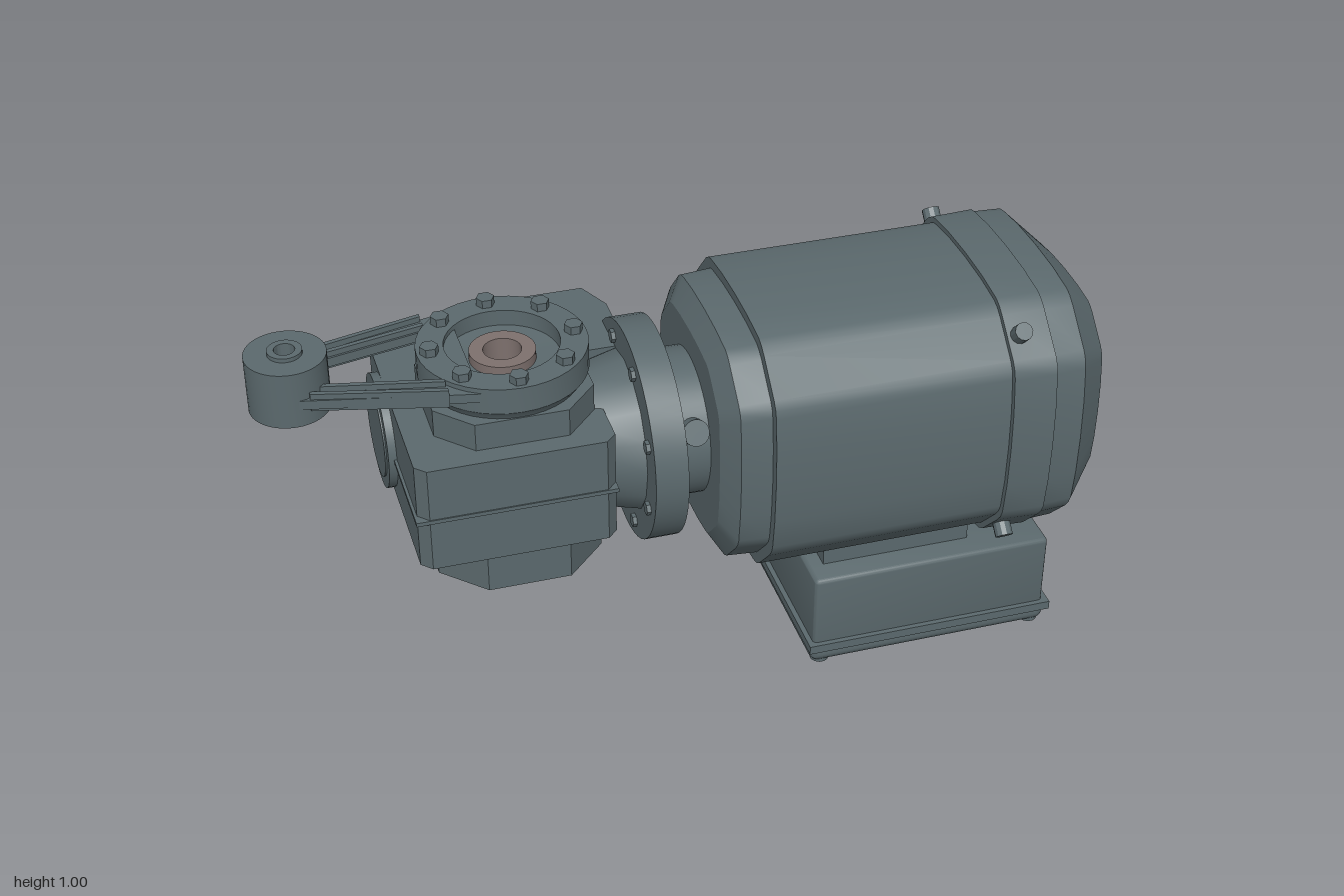
import * as THREE from 'three';
import { toCreasedNormals } from 'three/addons/utils/BufferGeometryUtils.js';
import { RoundedBoxGeometry } from 'three/addons/geometries/RoundedBoxGeometry.js';

const paint = new THREE.MeshStandardMaterial({ color: 0x5b696d, side: THREE.DoubleSide });
const steel = new THREE.MeshStandardMaterial({ color: 0x7d706d, side: THREE.DoubleSide });
const AXIS = 0.63; // height of the motor shaft
const HUB = -0.41; // x of the vertical output shaft

export function createModel() {
  const model = new THREE.Group();
  const add = (name, geo, mat = paint) => {
    const mesh = new THREE.Mesh(toCreasedNormals(geo, 0.5), mat);
    mesh.name = name;
    model.add(mesh);
    return mesh;
  };
  const box = (name, x0, x1, y0, y1, z0, z1) => add(name,
    new THREE.BoxGeometry(x1 - x0, y1 - y0, z1 - z0).translate((x0 + x1) / 2, (y0 + y1) / 2, (z0 + z1) / 2));
  const roundBox = (name, x0, x1, y0, y1, z0, z1, r) => add(name,
    new RoundedBoxGeometry(x1 - x0, y1 - y0, z1 - z0, 3, r).translate((x0 + x1) / 2, (y0 + y1) / 2, (z0 + z1) / 2));
  // cylinder along x, r0 at x0 and r1 at x1
  const cylX = (name, r0, r1, x0, x1, y = AXIS, z = 0, sides = 48, mat = paint) => add(name,
    new THREE.CylinderGeometry(r1, r0, x1 - x0, sides).rotateZ(-Math.PI / 2).translate((x0 + x1) / 2, y, z), mat);
  const cylY = (name, r0, r1, y0, y1, x, z, sides = 32, mat = paint) => add(name,
    new THREE.CylinderGeometry(r1, r0, y1 - y0, sides).rotateY(Math.PI / sides).translate(x, (y0 + y1) / 2, z), mat);
  const lathe = (name, profile, x, z = 0, mat = paint) => add(name,
    new THREE.LatheGeometry(profile.map(p => new THREE.Vector2(...p)), 40).translate(x, 0, z), mat);
  // plan outline [x, z] raised from y0 to y1
  const plan = (name, pts, y0, y1, holes = []) => {
    const toV = list => list.map(([x, z]) => new THREE.Vector2(x, -z));
    const shape = new THREE.Shape(toV(pts));
    shape.holes = holes.map(h => new THREE.Path(toV(h)));
    return add(name, new THREE.ExtrudeGeometry(shape, { depth: y1 - y0, bevelEnabled: false })
      .rotateX(-Math.PI / 2).translate(0, y0, 0));
  };

  // Motor: softened octagon section lofted along x, stations are [x, half z, half y]
  const quarter = [[1, 0], [0.99, 0.3], [0.96, 0.55], [0.945, 0.61], [0.905, 0.67],
    [0.67, 0.89], [0.61, 0.935], [0.55, 0.96], [0.3, 0.99]];
  const ring = [];
  for (let q = 0; q < 4; q++) {
    const c = [1, 0, -1, 0][q], s = [0, 1, 0, -1][q];
    quarter.forEach(([a, b]) => ring.push([a * c - b * s, a * s + b * c]));
  }
  const loft = (name, stations) => {
    const pos = [], n = ring.length;
    const P = ([x, hz, hy], j) => [x, AXIS + ring[j % n][1] * hy, ring[j % n][0] * hz];
    for (let j = 0; j < n; j++) {
      for (let i = 0; i + 1 < stations.length; i++) {
        const [A, B] = [stations[i], stations[i + 1]];
        pos.push(...P(A, j), ...P(B, j), ...P(A, j + 1), ...P(B, j), ...P(B, j + 1), ...P(A, j + 1));
      }
      const first = stations[0], last = stations.at(-1);
      pos.push(first[0], AXIS, 0, ...P(first, j), ...P(first, j + 1));
      pos.push(last[0], AXIS, 0, ...P(last, j + 1), ...P(last, j));
    }
    const geo = new THREE.BufferGeometry();
    geo.setAttribute('position', new THREE.Float32BufferAttribute(pos, 3));
    return add(name, geo);
  };
  loft('driveEndShield', [[0.04, 0.25, 0.25], [0.075, 0.305, 0.305], [0.16, 0.31, 0.31]]);
  loft('motorBody', [[0.15, 0.335, 0.333], [0.74, 0.335, 0.333]]);
  loft('fanCowl', [[0.73, 0.35, 0.345], [0.835, 0.355, 0.347], [0.837, 0.35, 0.342],
    [0.91, 0.346, 0.34], [0.997, 0.255, 0.256]]);
  loft('fanCowlEndPanel', [[0.99, 0.217, 0.217], [1.0, 0.215, 0.215]]);
  for (let k = 0; k < 4; k++) {
    const a = Math.PI / 4 + k * Math.PI / 2;
    const screw = add('cowlScrew', new THREE.CylinderGeometry(0.022, 0.022, 0.07, 12));
    screw.position.set(0.76, AXIS + 0.385 * Math.sin(a), 0.385 * Math.cos(a));
    screw.rotation.x = Math.PI / 2 - a;
  }

  // Terminal box hanging under the motor
  box('terminalPedestal', 0.33, 0.71, 0.25, 0.34, -0.19, 0.19);
  roundBox('terminalBox', 0.29, 0.905, 0.05, 0.26, -0.245, 0.253, 0.012);
  box('lidRim', 0.277, 0.92, 0.043, 0.066, -0.243, 0.266);
  roundBox('terminalLid', 0.283, 0.913, 0.003, 0.06, -0.235, 0.258, 0.024);
  for (const x of [0.315, 0.88]) for (const z of [-0.205, 0.228]) {
    cylY('lidScrew', 0.024, 0.024, 0, 0.05, x, z, 12);
  }
  // Blanking plugs with a slot bar on the rear wall
  for (const [x, r] of [[0.79, 0.048], [0.63, 0.052], [0.43, 0.06]]) {
    const plug = lathe('cablePlug', [[r, -0.01], [r, 0.004], [r * 0.75, 0.011], [0, 0.015]], 0);
    plug.rotation.x = -Math.PI / 2;
    plug.position.set(x, 0.16, -0.243);
    const slot = box('plugSlot', x - r * 0.75, x + r * 0.75, 0.155, 0.165, -0.261, -0.25);
    slot.rotation.z = 0;
  }

  // Coupling neck and round flange
  cylX('couplingNeck', 0.18, 0.18, -0.05, 0.06);
  cylX('couplingFlange', 0.27, 0.27, -0.12, -0.04);
  for (let k = 0; k < 8; k++) {
    const a = (k + 0.5) * Math.PI / 4;
    cylX('flangeBolt', 0.017, 0.017, -0.13, -0.033, AXIS + 0.228 * Math.sin(a), 0.228 * Math.cos(a), 6);
  }
  for (const side of [-1, 1]) {
    const plug = add('neckPlug', new THREE.CylinderGeometry(0.032, 0.032, 0.05, 20).rotateX(Math.PI / 2));
    plug.position.set(0, 0.71, 0.17 * side);
    plug.rotation.x = -0.45 * side;
  }

  // Gear housing with adapter, rear ribs and worm end cover
  plan('gearHousing', [[-0.67, -0.32], [-0.65, -0.335], [-0.2, -0.335], [-0.2, 0.21], [-0.225, 0.235],
    [-0.645, 0.235], [-0.67, 0.21]], 0.495, 0.77);
  box('housingSeam', -0.677, -0.2, 0.625, 0.635, -0.341, 0.238);
  cylX('gearAdapter', 0.165, 0.2, -0.25, -0.11, AXIS, 0, 16);
  plan('adapterShoulder', [[-0.31, -0.358], [-0.13, -0.358], [-0.09, -0.27], [-0.09, -0.08],
    [-0.24, -0.08], [-0.24, -0.31], [-0.31, -0.31]], 0.44, 0.815);
  box('rearRib', -0.62, -0.5, 0.48, 0.785, -0.358, -0.3);
  cylX('wormEndCover', 0.14, 0.14, -0.69, -0.64, AXIS, -0.16, 40);
  cylX('wormEndCap', 0.112, 0.112, -0.694, -0.66, AXIS, -0.16, 40);
  cylY('ventPlug', 0.026, 0.026, 0.76, 0.785, HUB, -0.26, 6, steel);

  // Output flange on top: waisted collar, recessed ring and bolts
  lathe('outputFlange', [[0.165, 0.76], [0.175, 0.83], [0.2, 0.865], [0.2, 0.93], [0.135, 0.93],
    [0.135, 0.89], [0.05, 0.885]], HUB);
  plan('collarBlock', [[-0.6, -0.1], [-0.52, -0.185], [-0.3, -0.185], [-0.22, -0.1], [-0.22, 0.1],
    [-0.3, 0.185], [-0.52, 0.185], [-0.6, 0.1]], 0.76, 0.84);
  lathe('hollowShaftTop', [[0.078, 0.88], [0.078, 0.91], [0.045, 0.91], [0.045, 0.85], [0, 0.85]], HUB, 0, steel);
  for (let k = 0; k < 8; k++) {
    const a = k * Math.PI / 4;
    cylY('outputBolt', 0.022, 0.022, 0.92, 0.95, HUB + 0.17 * Math.cos(a), 0.17 * Math.sin(a), 6);
  }

  // Lower output face: rounded square plate on a tapered neck
  plan('lowerPlate', [[-0.61, -0.1], [-0.51, -0.2], [-0.31, -0.2], [-0.21, -0.1], [-0.21, 0.1],
    [-0.31, 0.2], [-0.51, 0.2], [-0.61, 0.1]], 0.376, 0.47);
  cylY('lowerNeck', 0.2, 0.215, 0.46, 0.5, HUB, 0, 8);
  lathe('hollowShaftBottom', [[0, 0.4], [0.045, 0.4], [0.045, 0.353], [0.078, 0.353], [0.078, 0.38]], HUB, 0, steel);
  for (const x of [-0.55, -0.27]) for (const z of [-0.1, 0.1]) {
    cylY('lowerBoltHole', 0.017, 0.017, 0.372, 0.38, x, z, 12, steel);
  }

  // Torque arm: open tapered fork, edge ribs and bushed eye
  plan('torqueArm', [[-0.91, -0.09], [-0.5, -0.18], [-0.5, 0.18], [-0.91, 0.09]], 0.895, 0.918,
    [[[-0.83, -0.055], [-0.83, 0.055], [-0.57, 0.112], [-0.6, 0], [-0.57, -0.112]]]);
  for (const s of [-1, 1]) for (const [z0, z1] of [[0.082, 0.156], [0.052, 0.117]]) {
    plan('armRib', [[-0.87, s * z0], [-0.57, s * z1], [-0.57, s * (z1 + 0.012)], [-0.87, s * (z0 + 0.012)]], 0.888, 0.932);
  }
  lathe('armEye', [[0.03, 0.85], [0.094, 0.85], [0.094, 0.99], [0.03, 0.99]], -0.906);
  lathe('eyeBushing', [[0.024, 0.844], [0.04, 0.844], [0.04, 1.0], [0.024, 1.0], [0.024, 0.844]], -0.906);

  return model;
}
